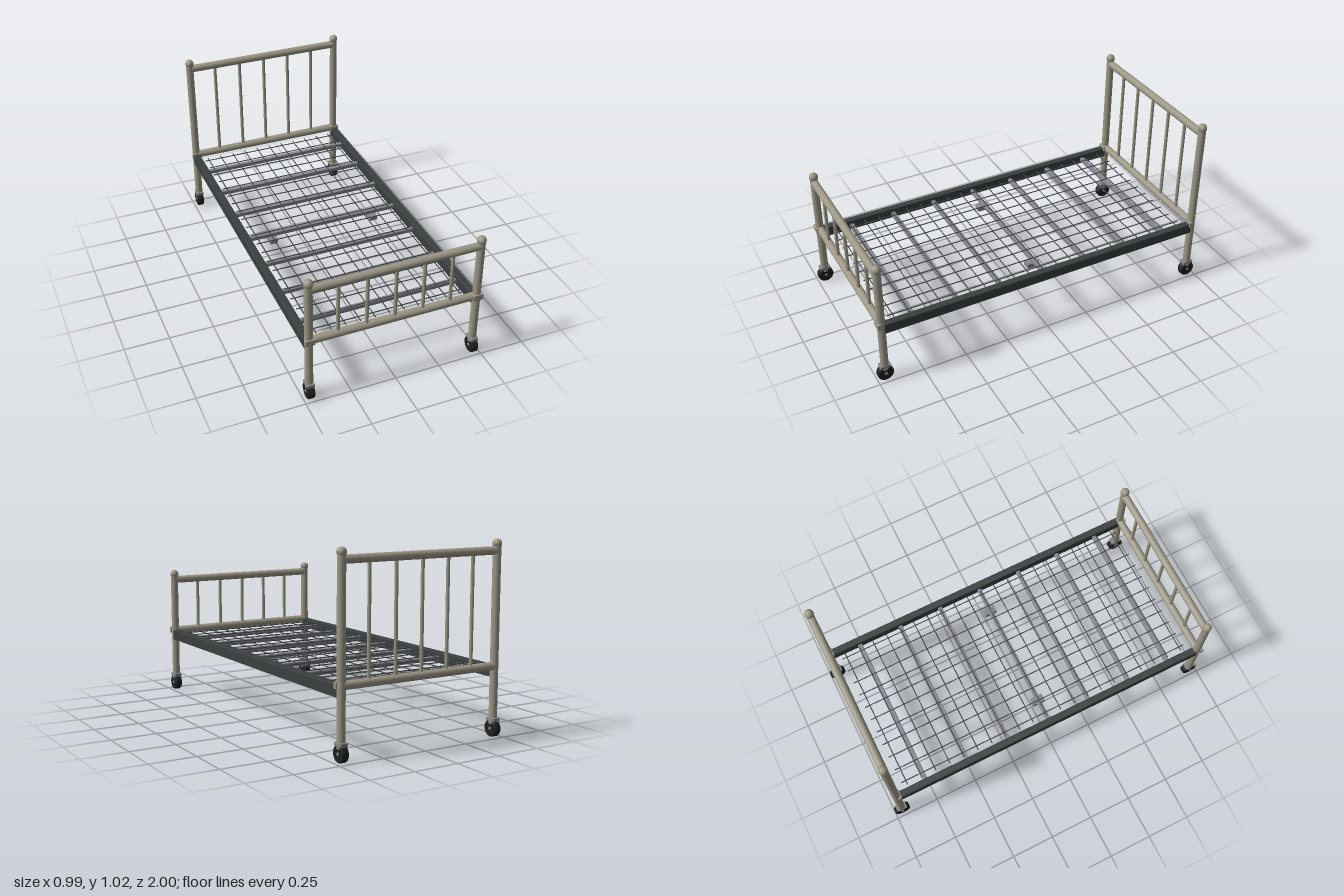
import * as THREE from 'three';
import { RoundedBoxGeometry } from 'three/addons/geometries/RoundedBoxGeometry.js';

const material = (color) => new THREE.MeshStandardMaterial({ color });
const enamel = material(0x9c9786);
const darkSteel = material(0x3a3f40);
const greySteel = material(0x85878d);
const wireSteel = material(0x45484b);
const rubber = material(0x1e1f1f);

const POST_X = 0.465, POST_Z = 0.955, TUBE = 0.0217, LOW_RAIL = 0.372;

function add(parent, name, geometry, mat, x, y, z) {
  const mesh = new THREE.Mesh(geometry, mat);
  mesh.name = name;
  mesh.position.set(x, y, z);
  parent.add(mesh);
  return mesh;
}

// Round bar of a given length along one axis, centred on a point
function bar(parent, name, axis, radius, length, mat, x, y, z, sides = 24) {
  const mesh = add(parent, name, new THREE.CylinderGeometry(radius, radius, length, sides), mat, x, y, z);
  if (axis === 'x') mesh.rotation.z = Math.PI / 2;
  if (axis === 'z') mesh.rotation.x = Math.PI / 2;
  return mesh;
}

function box(parent, name, w, h, d, mat, x, y, z, bevel = 0.003) {
  return add(parent, name, new RoundedBoxGeometry(w, h, d, 2, bevel), mat, x, y, z);
}

// Wheel with softened tread edges, held by a small bracket
function caster(x) {
  const group = new THREE.Group();
  group.name = 'caster';
  const profile = [[0, -0.016], [0.03, -0.016], [0.034, -0.0185], [0.041, -0.0185], [0.045, -0.013],
    [0.045, 0.013], [0.041, 0.0185], [0.034, 0.0185], [0.03, 0.016], [0, 0.016]];
  const wheel = add(group, 'wheel',
    new THREE.LatheGeometry(profile.map(([r, y]) => new THREE.Vector2(r, y)), 28), rubber, 0, 0.045, 0);
  wheel.rotation.z = Math.PI / 2;
  bar(group, 'axle', 'x', 0.008, 0.042, greySteel, 0, 0.045, 0, 12);
  box(group, 'casterBracket', 0.042, 0.02, 0.06, greySteel, 0, 0.091, 0);
  group.position.x = x;
  return group;
}

// Headboard or footboard: two posts, two rails and upright spindles
function endFrame(name, ballY, topRailY, z) {
  const group = new THREE.Group();
  group.name = name;
  for (const side of [-1, 1]) {
    const x = side * POST_X;
    bar(group, 'post', 'y', TUBE, ballY - 0.07, enamel, x, (ballY + 0.07) / 2, 0);
    add(group, 'postCap', new THREE.SphereGeometry(0.025, 24, 16), enamel, x, ballY, 0);
    box(group, 'railClamp', 0.055, 0.034, 0.022, enamel, x, 0.373, 0.016);
    group.add(caster(x));
  }
  bar(group, 'topRail', 'x', TUBE, POST_X * 2, enamel, 0, topRailY, 0);
  bar(group, 'lowerRail', 'x', TUBE, POST_X * 2, enamel, 0, LOW_RAIL, 0);
  for (let i = -2; i <= 2; i++) {
    bar(group, 'spindle', 'y', 0.0095, topRailY - LOW_RAIL, enamel, i * 0.155, (topRailY + LOW_RAIL) / 2, 0, 16);
  }
  group.position.z = z;
  return group;
}

// Side rails, cross slats and the wire mesh
function bedBase() {
  const group = new THREE.Group();
  group.name = 'bedBase';
  for (const side of [-1, 1]) {
    box(group, 'sideRail', 0.04, 0.06, 1.89, darkSteel, side * POST_X, 0.345, 0, 0.005);
    box(group, 'underBracket', 0.045, 0.03, 0.072, greySteel, side * 0.308, 0.312, 0);
  }
  for (let i = -3; i <= 3; i++) {
    box(group, 'slat', 0.894, 0.024, 0.024, greySteel, 0, 0.343, i * 0.257);
  }
  for (let i = -5; i <= 5; i++) {
    bar(group, 'longWire', 'z', 0.003, 1.8, wireSteel, i * 0.081, 0.359, 0, 8);
  }
  for (let i = -10; i <= 10; i++) {
    bar(group, 'crossWire', 'x', 0.003, 0.86, wireSteel, 0, 0.362, i * 0.087, 8);
  }
  return group;
}

export function createModel() {
  const bed = new THREE.Group();
  bed.name = 'bed';
  bed.add(endFrame('headboard', 1.0, 0.965, -POST_Z));
  bed.add(endFrame('footboard', 0.72, 0.686, POST_Z));
  bed.add(bedBase());
  return bed;
}
